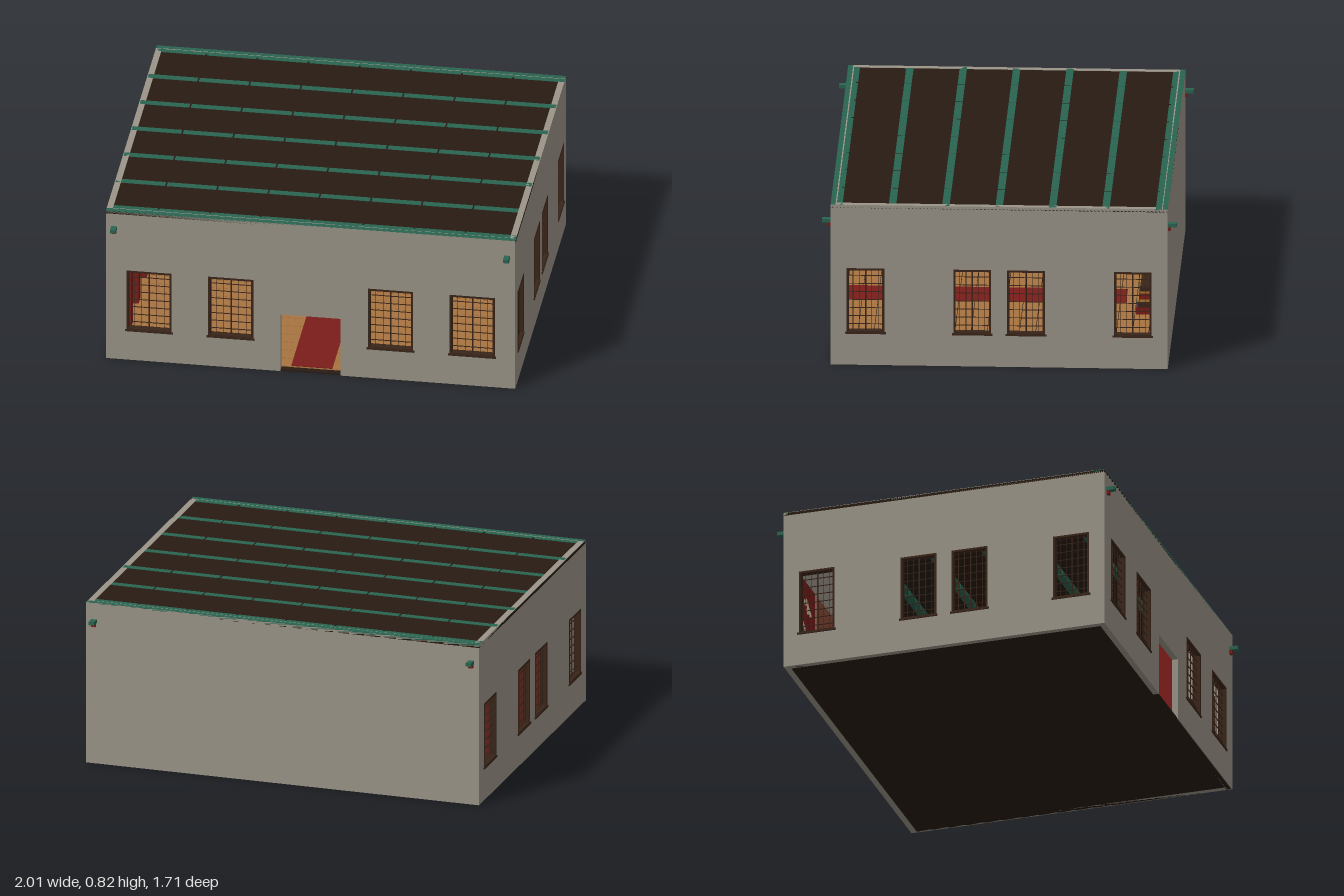
import * as THREE from 'three';

const W = 1, D = 0.815, H = 0.82, T = 0.03; // half width, half depth, height, wall thickness
const mats = {};
const mat = (c) => (mats[c] ??= new THREE.MeshStandardMaterial({ color: c, side: THREE.DoubleSide }));
const PLASTER = 0x9a9488, GREEN = 0x2a6350, DARK = 0x281b12, TIMBER = 0x3a2519, RED = 0x7a1d1a,
  GOLD = 0xa87c34, WOOD = 0xa87440, CREAM = 0xd8cba8, BLUE = 0x2f5c8c, CLAY = 0x8c4c38;

function add(parent, name, geo, color, x = 0, y = 0, z = 0) {
  const m = new THREE.Mesh(geo, mat(color));
  m.name = name;
  m.position.set(x, y, z);
  parent.add(m);
  return m;
}

// box given by its centre and size
const box = (p, name, color, x, y, z, w, h, d) =>
  add(p, name, new THREE.BoxGeometry(w, h, d), color, x, y, z);

function group(parent, name) {
  const g = new THREE.Group();
  g.name = name;
  parent.add(g);
  return g;
}

// lattice window centred on its own origin, outer side facing +z
const WH = 0.33, WY = 0.33;
function latticeWindow(parent, x, w) {
  const g = group(parent, 'window');
  g.position.set(x, WY, 0);
  const f = 0.01;
  for (const s of [-1, 1]) {
    box(g, 'frameSide', TIMBER, s * (w - f) / 2, 0, -T / 2, f, WH, T + 0.004);
    box(g, 'frameRail', TIMBER, 0, s * (WH - f) / 2, -T / 2, w, f, T + 0.004);
  }
  box(g, 'sill', TIMBER, 0, -WH / 2, -0.005, w + 0.014, 0.01, 0.02);
  const cols = 6, rows = 8;
  for (let i = 1; i < cols; i++)
    box(g, 'latticeUpright', TIMBER, (i / cols - 0.5) * w, 0, -T / 2, i === cols / 2 ? 0.006 : 0.003, WH, 0.004);
  for (let i = 1; i < rows; i++)
    box(g, 'latticeBar', TIMBER, 0, (i / rows - 0.5) * WH, -T / 2, w, 0.003, 0.004);
}

// wall with window openings and an optional doorway, outer face at z = 0
function wall(parent, name, half, xs, w, door) {
  const g = group(parent, name);
  const s = new THREE.Shape();
  s.moveTo(-half, 0);
  if (door) s.lineTo(-door, 0).lineTo(-door, 0.315).lineTo(door, 0.315).lineTo(door, 0);
  s.lineTo(half, 0).lineTo(half, H).lineTo(-half, H).closePath();
  for (const x of xs) {
    const a = x - w / 2, b = x + w / 2, lo = WY - WH / 2, hi = WY + WH / 2;
    const hole = new THREE.Path();
    hole.moveTo(a, lo).lineTo(a, hi).lineTo(b, hi).lineTo(b, lo).closePath();
    s.holes.push(hole);
    latticeWindow(g, x, w);
  }
  add(g, 'plasterWall', new THREE.ExtrudeGeometry(s, { depth: T, bevelEnabled: false }), PLASTER, 0, 0, -T);
  return g;
}

function walls(root) {
  wall(root, 'frontWall', W, [-0.79, -0.39, 0.39, 0.79], 0.22, 0.147).position.z = D;
  const back = wall(root, 'backWall', W, [], 0);
  back.position.z = -D;
  back.rotation.y = Math.PI;
  for (const s of [-1, 1]) {
    const side = wall(root, 'sideWall', D - T, [-0.646, -0.13, 0.13, 0.646], 0.182);
    side.position.x = s * W;
    side.rotation.y = s * Math.PI / 2;
  }
}

function roof(root) {
  const g = group(root, 'roof');
  box(g, 'roofBoards', DARK, 0, H - 0.009, 0, 2 * W, 0.014, 2 * D);
  // segmented green beams, seen above the boards and below them as ceiling beams
  for (let k = -2; k <= 2; k++)
    for (let i = 0; i < 8; i++)
      box(g, 'roofBeam', GREEN, -0.875 + i * 0.25, H - 0.02, k * 0.258, 0.242, 0.04, 0.036);
  for (const s of [-1, 1]) {
    box(g, 'edgeBeam', GREEN, 0, H - 0.004, s * (D - 0.012), 2 * W, 0.01, 0.024);
    box(g, 'innerEdgeBeam', GREEN, 0, H - 0.005, s * (D - 0.043), 2 * W, 0.01, 0.03);
    for (let i = 1; i < 8; i++)
      box(g, 'beamNotch', DARK, -1 + i * 0.25, H - 0.004, s * (D - 0.054), 0.009, 0.01, 0.012);
    // beam ends poking through the front and back walls
    for (const x of [-0.96, 0.96]) {
      box(g, 'bracketTop', GREEN, x, 0.727, s * (D + 0.02), 0.028, 0.018, 0.044);
      box(g, 'bracketFoot', RED, x, 0.709, s * (D + 0.006), 0.022, 0.018, 0.014);
    }
  }
}

function floorAndColumns(root) {
  const g = group(root, 'interior');
  box(g, 'base', DARK, 0, 0.003, 0, 2 * W - 0.01, 0.006, 2 * D - 0.01);
  for (let i = 0; i < 20; i++)
    box(g, 'floorBoard', WOOD, 0, 0.008, -0.741 + i * 0.078, 2 * W - 2 * T, 0.005, 0.075);
  box(g, 'carpet', RED, 0, 0.012, 0.1, 0.2, 0.004, 1.35);
  for (const s of [-1, 1])
    for (let k = -2; k <= 2; k++)
      box(g, 'column', RED, s * 0.945, H / 2, k * (Math.abs(k) === 2 ? 0.25 : 0.26), 0.05, H - 0.03, 0.066);
}

// painted scenes on the inner back wall
function murals(root) {
  const z = -D + T;
  for (const s of [-1, 1]) {
    const g = group(root, 'mural');
    g.scale.x = s;
    const disc = (c, x, y, r, l = 1) =>
      add(g, 'paintedShape', new THREE.CircleGeometry(r, 16), c, x, y, z + 0.004 + l * 0.001);
    box(g, 'redPanel', RED, 0.77, 0.33, z + 0.002, 0.32, 0.45, 0.004);
    box(g, 'clayPanel', CLAY, 0.38, 0.33, z + 0.002, 0.4, 0.45, 0.004);
    // hill with a pale wave along its crest
    const hill = (dy) => new THREE.CatmullRomCurve3([[0.62, 0.2], [0.72, 0.23], [0.8, 0.3], [0.88, 0.33], [0.93, 0.31]]
      .map(([x, y]) => new THREE.Vector3(x, y + dy, 0))).getPoints(16);
    const shape = new THREE.Shape(hill(0).map((p) => new THREE.Vector2(p.x, p.y)));
    shape.lineTo(0.93, 0.105).lineTo(0.62, 0.105).closePath();
    add(g, 'greenHill', new THREE.ShapeGeometry(shape), GREEN, 0, 0, z + 0.006);
    add(g, 'wave', new THREE.TubeGeometry(new THREE.CatmullRomCurve3(hill(0.01)), 20, 0.007, 5), CREAM, 0, 0, z + 0.004);
    for (const [x, y] of [[0.87, 0.41], [0.75, 0.44], [0.71, 0.41]])
      for (const d of [-1, 0, 1]) disc(CREAM, x + d * 0.02, y + (d ? 0 : 0.012), 0.018);
    // small figures
    for (const [x, y, c] of [[0.42, 0.24, CREAM], [0.47, 0.31, BLUE], [0.36, 0.2, BLUE], [0.46, 0.2, GOLD], [0.4, 0.43, CREAM], [0.43, 0.3, GOLD]]) {
      disc(c, x, y, 0.024);
      disc(c === GOLD ? RED : GOLD, x, y + 0.014, 0.011, 2);
    }
  }
}

// hanging gong over a stepped altar
function altar(root) {
  const g = group(root, 'altar');
  const gongY = 0.345, gongZ = -0.66;
  add(g, 'gong', new THREE.CylinderGeometry(0.175, 0.175, 0.01, 48).rotateX(Math.PI / 2), GOLD, 0, gongY, gongZ);
  for (const r of [0.06, 0.1, 0.135, 0.17])
    add(g, 'gongRing', new THREE.TorusGeometry(r, 0.005, 6, 48), r === 0.135 ? TIMBER : GOLD, 0, gongY, gongZ + 0.005);
  for (let i = 0; i < 32; i++) {
    const a = i / 32 * Math.PI * 2;
    add(g, 'gongStud', new THREE.SphereGeometry(0.007, 8, 6), TIMBER, Math.cos(a) * 0.152, gongY + Math.sin(a) * 0.152, gongZ + 0.004);
  }
  const steps = [[RED, 0.035, 0.14], [TIMBER, 0.03, 0.12], [GOLD, 0.012, 0.13], [RED, 0.03, 0.11], [GOLD, 0.012, 0.12], [TIMBER, 0.025, 0.1]];
  let y = 0.01;
  for (const [c, h, d] of steps) {
    box(g, 'altarStep', c, 0, y + h / 2, -0.7, 0.5, h, d);
    y += h;
  }
  for (let i = -3; i <= 3; i++)
    box(g, 'altarPanel', [BLUE, GOLD, GREEN][(i + 3) % 3], i * 0.07, 0.03, -0.63, 0.05, 0.018, 0.004);
}

export function createModel() {
  const root = new THREE.Group();
  root.name = 'hall';
  walls(root);
  roof(root);
  floorAndColumns(root);
  murals(root);
  altar(root);
  return root;
}
